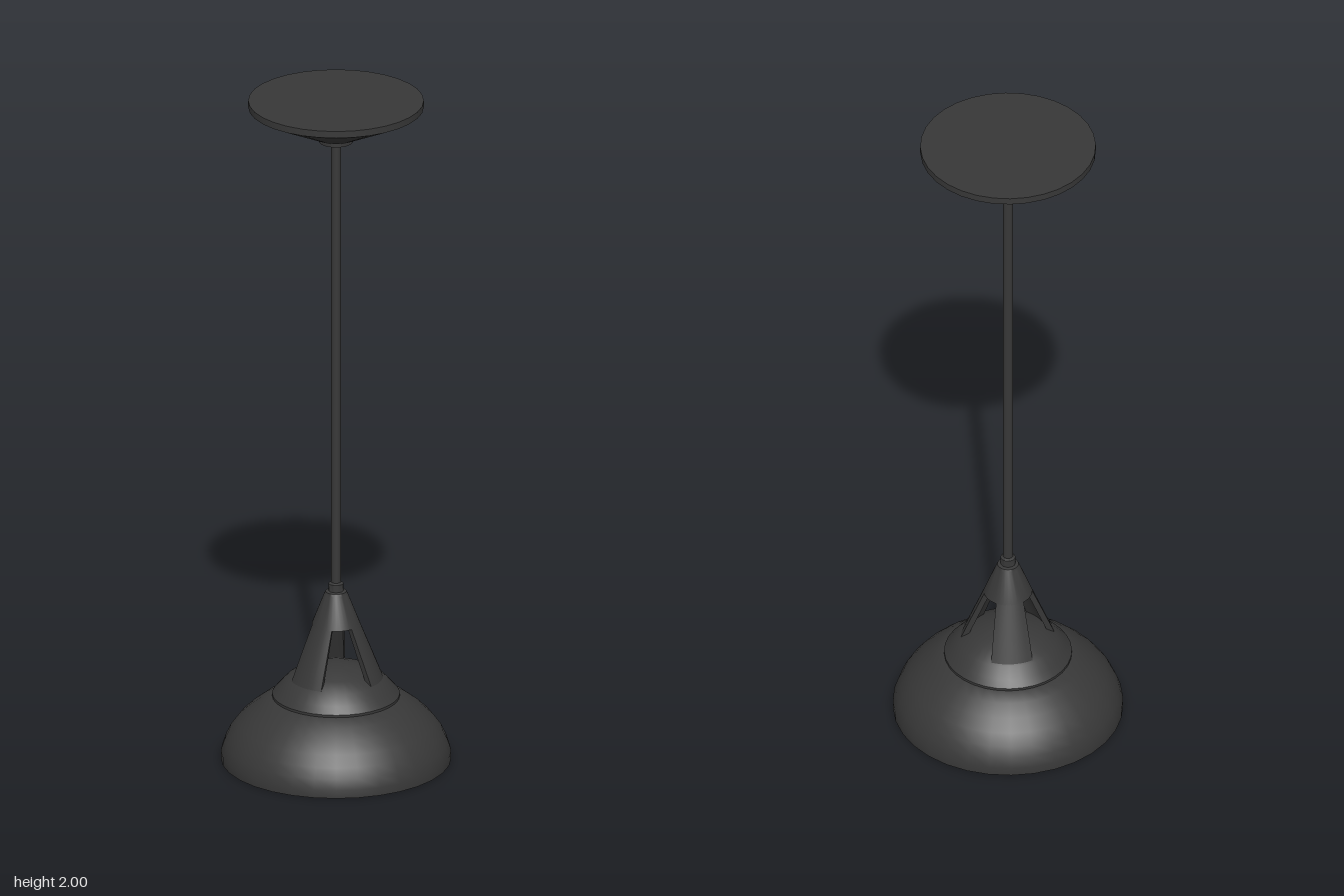
import * as THREE from 'three';
import { toCreasedNormals } from 'three/addons/utils/BufferGeometryUtils.js';

const SIDES = 32;
const CREASE = 0.6;
const material = new THREE.MeshStandardMaterial({ color: 0x383838 });

function addMesh(parent, name, geometry) {
  const mesh = new THREE.Mesh(geometry, material);
  mesh.name = name;
  parent.add(mesh);
  return mesh;
}

// Revolved solid; profile runs up the outside as [radius, height]
function lathe(profile, sides = SIDES) {
  const points = profile.map(([r, y]) => new THREE.Vector2(r, y));
  return toCreasedNormals(new THREE.LatheGeometry(points, sides), CREASE);
}

// Curved strut: a slice of a conical wall that tapers in angle as it rises
function strutGeometry() {
  const levels = [
    { y: 0.235, r: 0.139, half: 26 },
    { y: 0.27, r: 0.125, half: 27 },
    { y: 0.34, r: 0.097, half: 30 },
    { y: 0.412, r: 0.068, half: 35 },
  ];
  const wall = 0.018, steps = 8, ring = 2 * (steps + 1);
  const positions = [], index = [];
  for (const { y, r, half } of levels) {
    for (let k = 0; k < ring; k++) {
      const outer = k <= steps;
      const t = outer ? k / steps : (ring - 1 - k) / steps;
      const a = THREE.MathUtils.degToRad(half * (2 * t - 1));
      const radius = outer ? r : r - wall;
      positions.push(radius * Math.sin(a), y, radius * Math.cos(a));
    }
  }
  for (let i = 0; i < levels.length - 1; i++) {
    for (let k = 0; k < ring; k++) {
      const a = i * ring + k, b = i * ring + (k + 1) % ring;
      index.push(a, b, b + ring, a, b + ring, a + ring);
    }
  }
  const geometry = new THREE.BufferGeometry();
  geometry.setAttribute('position', new THREE.Float32BufferAttribute(positions, 3));
  geometry.setIndex(index);
  return toCreasedNormals(geometry, CREASE);
}

export function createModel() {
  const model = new THREE.Group();
  model.name = 'pendantLamp';

  // Ceiling canopy and hanging rod
  addMesh(model, 'canopy', lathe([
    [0, 1.875], [0.048, 1.875], [0.048, 1.887], [0.06, 1.89],
    [0.25, 1.98], [0.25, 2], [0, 2],
  ]));
  const rod = addMesh(model, 'rod', new THREE.CylinderGeometry(0.014, 0.014, 1.38, 16));
  rod.position.y = 1.2;

  // Hollow conical hub that holds the struts
  addMesh(model, 'hub', lathe([
    [0, 0.47], [0.028, 0.47], [0.05, 0.41], [0.069, 0.41], [0.034, 0.5], [0.03, 0.508],
    [0.021, 0.51], [0.021, 0.532], [0.014, 0.536], [0, 0.536],
  ]));

  // Three struts, leaving three windows between them
  const struts = new THREE.Group();
  struts.name = 'struts';
  model.add(struts);
  const strut = strutGeometry();
  for (let i = 0; i < 3; i++) {
    addMesh(struts, 'strut', strut).rotation.y = i * Math.PI * 2 / 3;
  }

  // Domed cap with a flange on top of the shade
  addMesh(model, 'shadeCap', lathe([
    [0, 0.278], [0.05, 0.273], [0.1, 0.256], [0.135, 0.234], [0.165, 0.186],
    [0.182, 0.186], [0.182, 0.198], [0.165, 0.218], [0.14, 0.245],
    [0.1, 0.268], [0.05, 0.284], [0, 0.29],
  ]));

  // Bowl shade: thin shell, open at the bottom
  addMesh(model, 'shade', lathe([
    [0.16, 0.184], [0.208, 0.16], [0.242, 0.131], [0.272, 0.098], [0.296, 0.062],
    [0.312, 0.026], [0.315, 0], [0.328, 0], [0.328, 0.024], [0.318, 0.054],
    [0.304, 0.083], [0.281, 0.114], [0.25, 0.144], [0.215, 0.171], [0.178, 0.193],
    [0.16, 0.193], [0.16, 0.184],
  ]));

  // Lamp holder and bulb
  addMesh(model, 'lampHolder', lathe([
    [0, 0.19], [0.034, 0.19], [0.034, 0.279], [0, 0.279],
  ], 20));
  addMesh(model, 'bulb', lathe([
    [0, 0.067], [0.017, 0.07], [0.031, 0.079], [0.041, 0.094], [0.044, 0.11],
    [0.041, 0.126], [0.031, 0.142], [0.022, 0.153], [0.02, 0.165], [0.02, 0.195],
  ], 20));

  return model;
}
